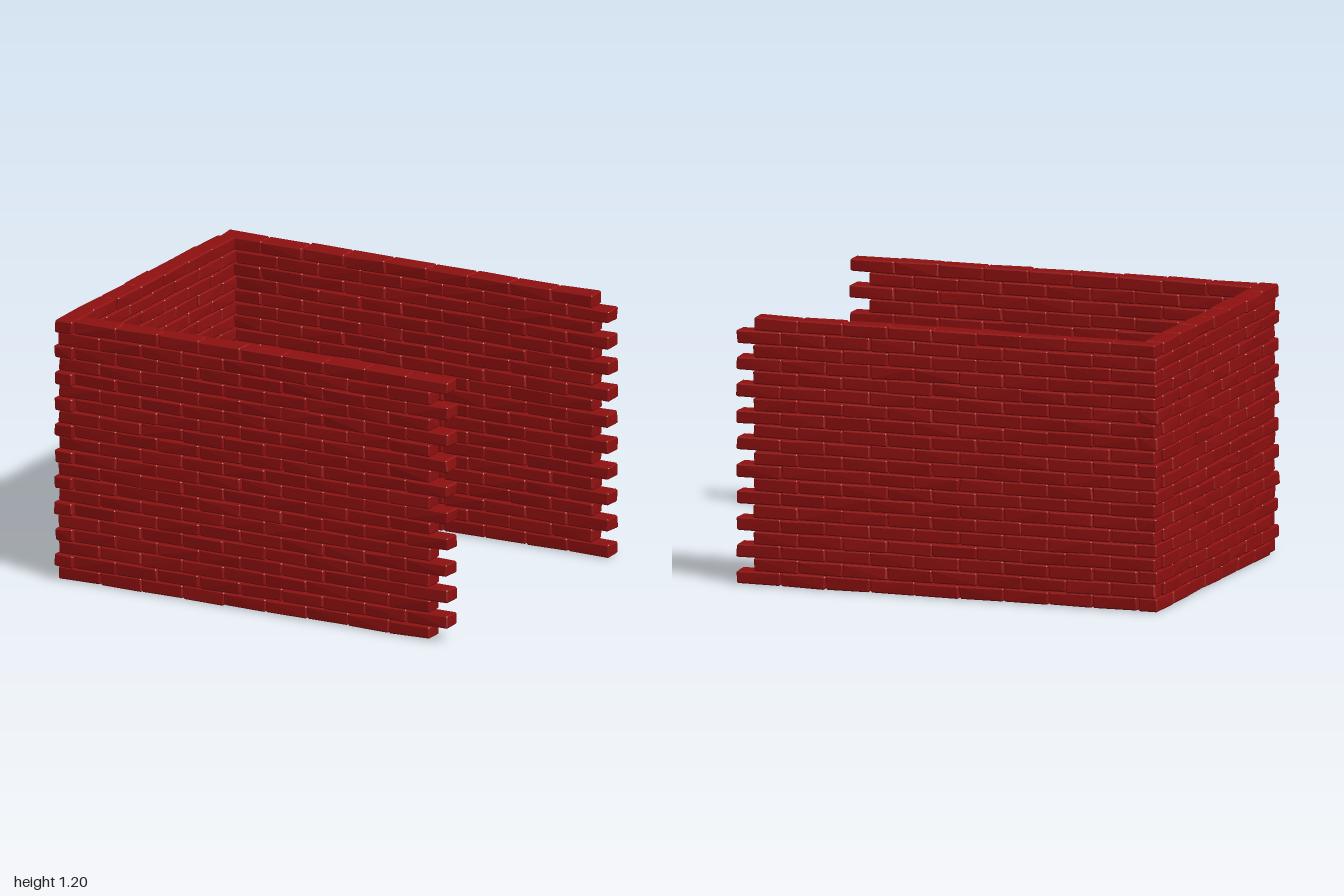
import * as THREE from 'three';
import { mergeGeometries } from 'three/addons/utils/BufferGeometryUtils.js';
import { ConvexGeometry } from 'three/addons/geometries/ConvexGeometry.js';

const COURSES = 20, COURSE_H = 0.06, DEPTH = 0.09;

// seeded jitter in the range -a..a
let seed = 7;
function jitter(a) {
  seed = (seed * 16807) % 2147483647;
  return (seed / 2147483647 * 2 - 1) * a;
}

// a worn brick: eight shifted corners, each cut by a small chamfer
function brick(length, height, depth) {
  const c = 0.006, points = [];
  for (const sx of [-1, 1]) for (const sy of [-1, 1]) for (const sz of [-1, 1]) {
    const x = sx * length / 2 + jitter(0.003);
    const y = sy * height / 2 + jitter(0.0025);
    const z = sz * depth / 2 + jitter(0.003);
    points.push(
      new THREE.Vector3(x, y - sy * c, z - sz * c),
      new THREE.Vector3(x - sx * c, y, z - sz * c),
      new THREE.Vector3(x - sx * c, y - sy * c, z));
  }
  return new ConvexGeometry(points);
}

// a wall along x; even and odd courses have their own start and end
function wall(name, count, even, odd, core, material, coreMaterial) {
  const group = new THREE.Group();
  group.name = name;
  const bricks = [];
  for (let row = 0; row < COURSES; row++) {
    const [start, end] = row % 2 ? odd : even;
    const pitch = (end - start) / count;
    for (let i = 0; i < count; i++) {
      const geometry = brick(pitch - 0.003, COURSE_H - 0.002, DEPTH);
      geometry.rotateZ(jitter(0.01));
      geometry.translate(start + (i + 0.5) * pitch, 0.006 + (row + 0.5) * COURSE_H, jitter(0.004));
      bricks.push(geometry);
    }
  }
  const mesh = new THREE.Mesh(mergeGeometries(bricks), material);
  mesh.name = name + 'Bricks';
  group.add(mesh);

  // thin filling that shows through the joints
  const filling = new THREE.Mesh(
    new THREE.BoxGeometry(core[1] - core[0], 1.19, 0.012), coreMaterial);
  filling.position.set((core[0] + core[1]) / 2, 0.607, 0);
  filling.name = name + 'Core';
  group.add(filling);
  return group;
}

export function createModel() {
  seed = 7;
  const model = new THREE.Group();
  model.name = 'brickEnclosure';
  const red = new THREE.MeshStandardMaterial({ color: 0x8e1010, flatShading: true });
  const bright = new THREE.MeshStandardMaterial({ color: 0xe81010 });

  // long walls with toothed open ends
  const front = wall('frontWall', 9, [-0.98, 0.9], [-0.9, 0.99], [-0.9, 0.55], red, bright);
  front.position.z = 0.717;
  const back = wall('backWall', 9, [-0.9, 0.985], [-0.985, 0.905], [-0.9, 0.55], red, bright);
  back.position.z = -0.738;

  // end wall, interlocked with the long walls at the corners; its local x runs to +z
  const end = wall('endWall', 7, [-0.78, 0.67], [-0.69, 0.78], [-0.67, 0.74], red, bright);
  end.rotation.y = -Math.PI / 2;
  end.position.x = -0.948;

  model.add(front, back, end);
  return model;
}
